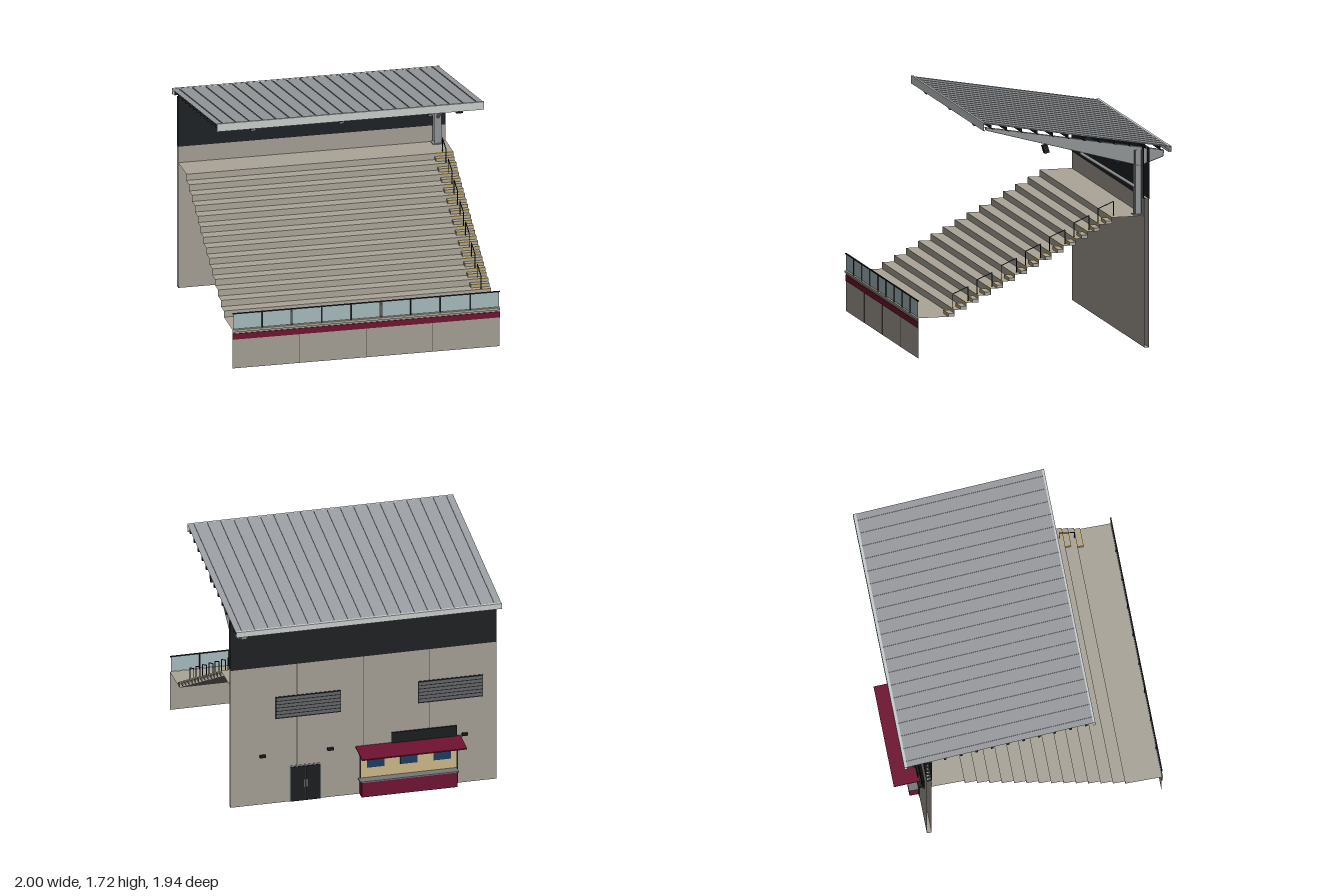
import * as THREE from 'three';

const mat = (color) => new THREE.MeshStandardMaterial({ color, side: THREE.DoubleSide });
const M = {
  concrete: mat(0xa39d92), tread: mat(0xaaa498), seam: mat(0x4a4844), clad: mat(0x1d2022),
  steel: mat(0x8f9293), roof: mat(0x9a9da1), trim: mat(0xc6cccb), black: mat(0x1a1c1e),
  maroon: mat(0x6e1230), glass: mat(0xa4b8bb), blue: mat(0x1c3a5e), yellow: mat(0xd0a838),
  beige: mat(0xc9b585), counter: mat(0x77777a),
};

export function createModel() {
  const root = new THREE.Group();
  root.name = 'grandstand';

  const add = (name, geo, m, parent = root) => {
    const mesh = new THREE.Mesh(geo, m);
    mesh.name = name;
    parent.add(mesh);
    return mesh;
  };
  const group = (name) => {
    const g = new THREE.Group();
    g.name = name;
    root.add(g);
    return g;
  };
  // Box given by its limits on each axis
  const box = (name, x0, x1, y0, y1, z0, z1, m, parent) => {
    const b = add(name, new THREE.BoxGeometry(x1 - x0, y1 - y0, z1 - z0), m, parent);
    b.position.set((x0 + x1) / 2, (y0 + y1) / 2, (z0 + z1) / 2);
    return b;
  };
  // Open-ended sheet: a [z, y] profile swept along x
  const sheet = (name, profile, x0, x1, m, parent) => {
    const p = [];
    for (let i = 0; i < profile.length - 1; i++) {
      const [za, ya] = profile[i], [zb, yb] = profile[i + 1];
      p.push(x0, ya, za, x1, ya, za, x1, yb, zb, x0, ya, za, x1, yb, zb, x0, yb, zb);
    }
    const g = new THREE.BufferGeometry();
    g.setAttribute('position', new THREE.Float32BufferAttribute(p, 3));
    g.computeVertexNormals();
    return add(name, g, m, parent);
  };
  // Round bar between two points
  const bar = (name, a, b, r, m, parent, sides = 6) => {
    const A = new THREE.Vector3(...a), B = new THREE.Vector3(...b), d = B.clone().sub(A);
    const c = add(name, new THREE.CylinderGeometry(r, r, d.length(), sides), m, parent);
    c.position.copy(A).add(B).multiplyScalar(0.5);
    c.quaternion.setFromUnitVectors(new THREE.Vector3(0, 1, 0), d.normalize());
    return c;
  };

  // Stepped terrace: walkway, 14 rows, rear platform
  const ROWS = 14, RUN = 0.0915, RISE = 0.0482, Z0 = 0.69, Y0 = 0.3;
  const steps = [[0.965, Y0]];
  for (let i = 0; i < ROWS; i++) {
    const z = Z0 - RUN * i, y = Y0 + RISE * i;
    steps.push([z, y], [z, y + RISE]);
  }
  steps.push([-0.745, Y0 + RISE * ROWS]);
  sheet('terrace', steps, -1, 1, M.tread);

  // Aisle half-steps with yellow nosings
  const aisle = group('aisle');
  for (let i = 0; i < ROWS; i++) {
    const z = Z0 - RUN * i, y = Y0 + RISE * i;
    box('aisleStep', 0.86, 0.999, y, y + 0.024, z, z + 0.045, M.tread, aisle);
    sheet('stepNosing', [[z + 0.046, y + 0.019], [z + 0.046, y + 0.0255], [z + 0.038, y + 0.0255]], 0.86, 0.999, M.yellow, aisle);
    sheet('rowNosing', [[z + 0.001, y + RISE - 0.005], [z + 0.001, y + RISE + 0.0012], [z - 0.007, y + RISE + 0.0012]], 0.86, 0.999, M.yellow, aisle);
  }
  // Aisle handrails, one for every two rows
  for (let i = 0; i < 7; i++) {
    const z = 0.682 - 2 * RUN * i, y = 0.348 + 2 * RISE * i, x = 0.925;
    bar('handrailPost', [x, y, z], [x, y + 0.105, z], 0.0035, M.black, aisle);
    bar('handrail', [x, y + 0.105, z], [x, y + 0.153, z - 0.114], 0.0035, M.black, aisle);
    bar('handrailPost', [x, y + RISE, z - 0.114], [x, y + 0.153, z - 0.114], 0.0035, M.black, aisle);
  }

  // Front wall with painted band and coping
  const front = group('frontWall');
  sheet('wallFace', [[0.96, 0], [0.96, 0.3]], -1, 1, M.concrete, front);
  sheet('band', [[0.96, 0.225], [0.965, 0.225], [0.965, 0.27], [0.96, 0.27]], -1, 1, M.maroon, front);
  sheet('coping', [[0.96, 0.284], [0.97, 0.284], [0.97, 0.301], [0.945, 0.301]], -1, 1, M.tread, front);
  for (const x of [-0.5, 0, 0.5]) box('wallSeam', x - 0.002, x + 0.002, 0, 0.225, 0.96, 0.9615, M.seam, front);

  // Glass balustrade
  const rail = group('balustrade');
  for (let i = 0; i < 9; i++) {
    const x = -1 + (i * 2) / 9;
    sheet('glassPanel', [[0.962, 0.306], [0.962, 0.422]], x + 0.006, x + 2 / 9 - 0.006, M.glass, rail);
    if (i) box('railPost', x - 0.004, x + 0.004, 0.3, 0.424, 0.958, 0.966, M.black, rail);
  }
  sheet('topRail', [[0.958, 0.422], [0.967, 0.422], [0.967, 0.43], [0.958, 0.43], [0.958, 0.422]], -1, 1, M.black, rail);

  // Rear building: hollow wall, dark cladding above
  const wall = group('rearWall');
  const loop = (y0, y1, zb, zf) => [[zb, y0], [zf, y0], [zf, y1], [zb, y1], [zb, y0]];
  sheet('concreteWall', loop(0, 1.1, -0.78, -0.745), -1, 1, M.concrete, wall);
  sheet('cladding', loop(1.1, 1.48, -0.782, -0.743), -1, 1, M.clad, wall);
  for (const x of [-0.5, 0, 0.5]) box('wallSeam', x - 0.002, x + 0.002, 0, 1.1, -0.7815, -0.78, M.seam, wall);
  for (const x of [-0.52, 0.24]) box('boxWindow', x - 0.09, x + 0.09, 1.235, 1.335, -0.744, -0.739, M.blue, wall);

  // Louvred vents
  for (const x of [0.415, -0.655]) {
    box('ventBack', x - 0.245, x + 0.245, 0.675, 0.85, -0.785, -0.78, M.black, wall);
    for (let i = 0; i < 6; i++) {
      const y = 0.685 + i * 0.027;
      sheet('louvre', [[-0.796, y], [-0.785, y + 0.02]], x - 0.24, x + 0.24, M.clad, wall);
    }
  }

  // Double door
  const door = group('door');
  box('doorFrame', 0.315, 0.56, 0, 0.285, -0.784, -0.78, M.steel, door);
  for (const x of [0.325, 0.44]) {
    box('doorLeaf', x, x + 0.11, 0, 0.276, -0.788, -0.783, M.black, door);
  }
  for (const x of [0.428, 0.447]) box('doorHandle', x - 0.003, x + 0.003, 0.11, 0.17, -0.794, -0.788, M.steel, door);
  for (const x of [0.76, 0.25, -0.76]) box('wallLamp', x - 0.022, x + 0.022, 0.38, 0.398, -0.802, -0.78, M.black, wall);

  // Refreshment kiosk
  const kiosk = group('kiosk');
  box('kioskFrame', -0.71, 0.03, 0, 0.35, -0.784, -0.78, M.black, kiosk);
  box('kioskPanel', -0.7, 0.02, 0.12, 0.34, -0.786, -0.783, M.beige, kiosk);
  for (const x of [-0.09, -0.34, -0.59]) box('menuBoard', x - 0.065, x + 0.065, 0.205, 0.305, -0.789, -0.785, M.blue, kiosk);
  box('counter', -0.69, 0.03, 0, 0.118, -0.85, -0.78, M.maroon, kiosk);
  box('counterTop', -0.7, 0.04, 0.118, 0.127, -0.855, -0.78, M.counter, kiosk);
  box('signBoard', -0.7, -0.21, 0.378, 0.465, -0.792, -0.78, M.black, kiosk);
  const awning = box('awning', -0.73, 0.06, 0.363, 0.373, -0.974, -0.78, M.maroon, kiosk);
  awning.rotation.x = -0.11;

  // Sloping roof sheet with seams, fascia and gutter
  const roof = group('roof');
  const SLOPE = 0.171, roofY = (z) => 1.715 + (z - 0.465) * SLOPE;
  const ZF = 0.465, ZB = -0.945;
  sheet('roofSheet', [[ZF, roofY(ZF)], [ZB, roofY(ZB)]], -1, 1, M.roof, roof);
  const len = Math.hypot(ZF - ZB, (ZF - ZB) * SLOPE) - 0.02;
  for (let i = 0; i < 20; i++) {
    const seam = add('roofSeam', new THREE.BoxGeometry(0.007, 0.006, len), M.roof, roof);
    seam.position.set(-0.95 + i * 0.1, roofY((ZF + ZB) / 2) + 0.002, (ZF + ZB) / 2);
    seam.rotation.x = -Math.atan(SLOPE);
  }
  sheet('fascia', [[0.452, 1.66], [0.468, 1.66], [0.468, 1.72], [0.452, 1.72]], -1, 1, M.trim, roof);
  sheet('gutter', [[-0.925, 1.482], [-0.947, 1.482], [-0.947, 1.44], [-0.925, 1.44], [-0.925, 1.462]], -1, 1, M.trim, roof);
  // Open Z-shaped purlins under the sheet
  for (let i = 0; i < 12; i++) {
    const z = 0.41 - i * 0.116, y = roofY(z) - 0.002;
    sheet('purlin', [[z + 0.018, y + 0.003], [z, y], [z, y - 0.031], [z - 0.018, y - 0.034]], -1, 1, M.black, roof);
  }

  // Steel frame: column, tapered raker, strut
  const frame = group('steelFrame');
  const X = 0.928;
  box('basePlate', X - 0.04, X + 0.04, 0.972, 0.98, -0.755, -0.675, M.steel, frame);
  box('columnWeb', X - 0.008, X + 0.008, 0.975, 1.455, -0.74, -0.69, M.steel, frame);
  for (const z of [-0.692, -0.745]) box('columnFlange', X - 0.025, X + 0.025, 0.975, 1.455, z, z + 0.007, M.steel, frame);
  const outline = [[0.44, 1.675], [-0.908, 1.445], [-0.9, 1.398], [-0.724, 1.338], [0.43, 1.652], [0.44, 1.675]];
  const raker = new THREE.ExtrudeGeometry(new THREE.Shape(outline.map(([z, y]) => new THREE.Vector2(z, y))), { depth: 0.014, bevelEnabled: false });
  raker.rotateY(-Math.PI / 2).translate(X + 0.007, 0, 0);
  add('rakerWeb', raker, M.steel, frame);
  sheet('rakerFlanges', outline, X - 0.02, X + 0.02, M.steel, frame);
  bar('strut', [X, 1.185, -0.69], [X, 1.452, -0.28], 0.012, M.steel, frame, 12);

  // Floodlights along the front edge and a loudspeaker on the raker
  for (const x of [-0.72, -0.06, 0.605]) {
    const lamp = new THREE.Group();
    lamp.name = 'floodlight';
    lamp.position.set(x, 1.648, 0.43);
    lamp.rotation.x = 0.6;
    root.add(lamp);
    box('lampBody', -0.02, 0.02, -0.013, 0.013, -0.017, 0.014, M.black, lamp);
    box('lampLens', -0.017, 0.017, -0.011, 0.011, 0.013, 0.016, M.trim, lamp);
  }
  const speaker = box('loudspeaker', X - 0.025, X + 0.025, 1.465, 1.525, -0.035, 0.002, M.black);
  speaker.rotation.x = 0.3;

  return root;
}
